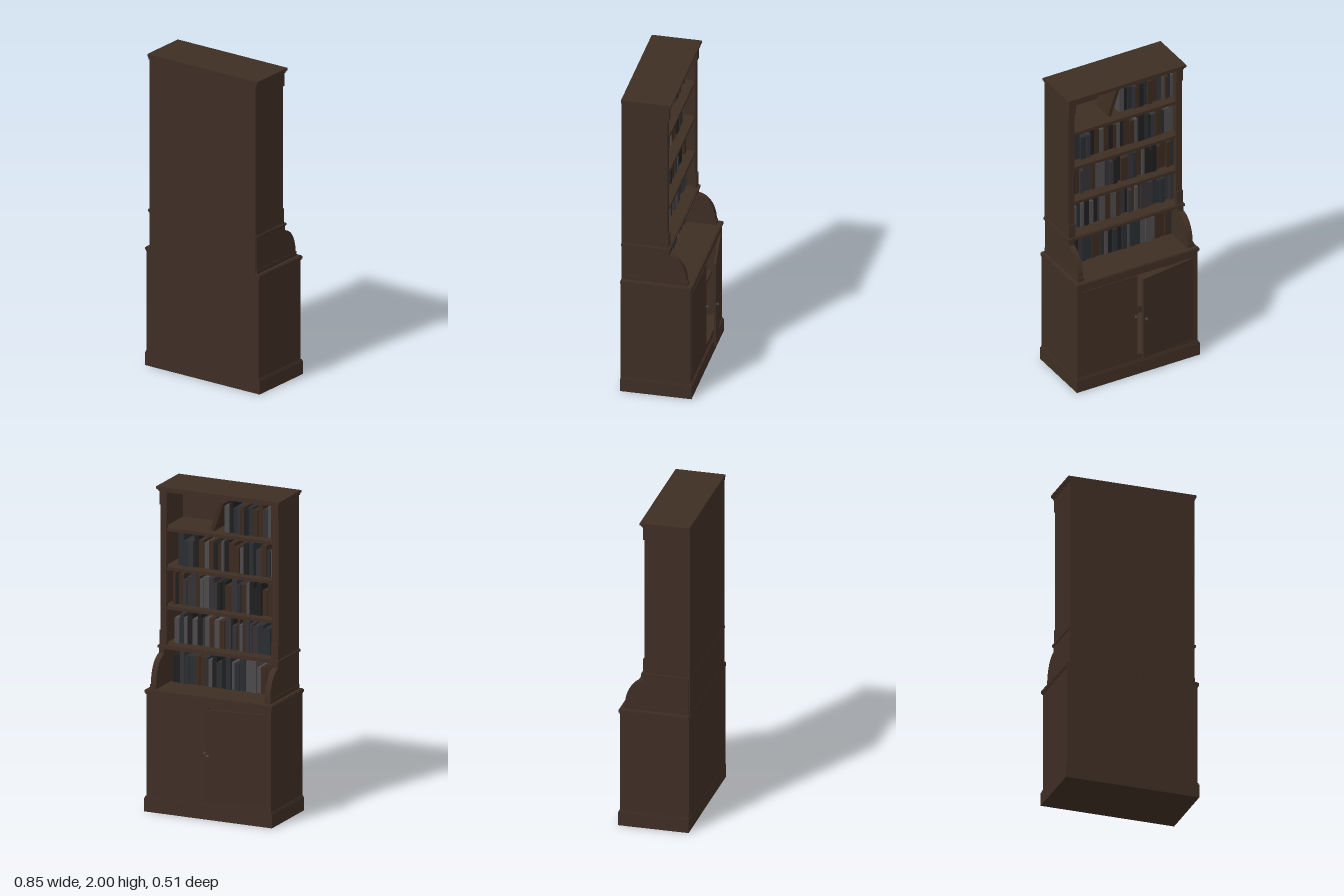
import * as THREE from 'three';

const mat = (name, color) => {
  const m = new THREE.MeshStandardMaterial({ color });
  m.name = name;
  return m;
};

export function createModel() {
  const model = new THREE.Group();
  model.name = 'bookcase';
  const wood = mat('dark wood', 0x3e2e24);
  const metal = mat('knob metal', 0x4c4a48);
  const bookMats = [
    mat('black cloth', 0x1f1f20), mat('slate cloth', 0x2a2e32), mat('grey cloth', 0x4d494b),
    mat('brown leather', 0x3b2a1f), mat('charcoal cloth', 0x343234),
  ];

  // Box given by its limits on each axis
  const box = (name, x0, x1, y0, y1, z0, z1, parent = model, m = wood) => {
    const mesh = new THREE.Mesh(new THREE.BoxGeometry(x1 - x0, y1 - y0, z1 - z0), m);
    mesh.position.set((x0 + x1) / 2, (y0 + y1) / 2, (z0 + z1) / 2);
    mesh.name = name;
    parent.add(mesh);
    return mesh;
  };
  // The same box on both sides of the case
  const pair = (name, x0, x1, ...rest) => {
    box(name + 'Left', x0, x1, ...rest);
    box(name + 'Right', -x1, -x0, ...rest);
  };

  // Lower cabinet: plinth, hollow carcass and face frame
  box('plinth', -0.427, 0.427, 0, 0.085, -0.185, 0.255);
  box('plinthLip', -0.422, 0.422, 0.085, 0.095, -0.18, 0.254);
  pair('cabinetSide', 0.395, 0.417, 0.09, 0.74, -0.175, 0.254);
  box('cabinetBack', -0.4, 0.4, 0.09, 0.74, 0.238, 0.254);
  box('cabinetFloor', -0.4, 0.4, 0.09, 0.12, -0.16, 0.24);
  box('cabinetShelf', -0.4, 0.4, 0.41, 0.43, -0.12, 0.24);
  pair('frameStile', 0.383, 0.396, 0.09, 0.74, -0.175, -0.15);
  box('frameBottomRail', -0.385, 0.385, 0.09, 0.132, -0.175, -0.15);
  box('frameTopRail', -0.385, 0.385, 0.7, 0.74, -0.175, -0.15);

  // Counter with a stepped moulding
  box('counterMoulding', -0.422, 0.422, 0.733, 0.742, -0.178, 0.2545);
  box('counterEdge', -0.426, 0.426, 0.742, 0.757, -0.183, 0.255);
  box('counterTop', -0.42, 0.42, 0.757, 0.762, -0.178, 0.254);

  // Two doors, one standing ajar, each hung at its outer edge
  const knobProfile = [[0, 0], [0.004, 0], [0.004, 0.008], [0.01, 0.011], [0.009, 0.015], [0, 0.018]]
    .map(([r, y]) => new THREE.Vector2(r, y));
  const knobGeometry = new THREE.LatheGeometry(knobProfile, 16).rotateX(-Math.PI / 2);
  for (const [side, angle] of [[-1, 0.15], [1, 0]]) {
    const door = new THREE.Group();
    door.name = side < 0 ? 'openDoor' : 'closedDoor';
    const [a, b] = side < 0 ? [0, 0.382] : [-0.382, 0];
    box('doorPanel', a, b, 0.133, 0.699, -0.006, 0.007, door);
    const knob = new THREE.Mesh(knobGeometry, metal);
    knob.name = 'doorKnob';
    knob.position.set(-side * 0.365, 0.415, -0.006);
    door.add(knob);
    door.position.set(side * 0.383, 0, -0.172);
    door.rotation.y = angle;
    model.add(door);
  }

  // Curved side brackets between counter and upper case
  const profile = new THREE.Shape();
  profile.moveTo(-0.245, 0.76);
  profile.lineTo(0.153, 0.76);
  profile.lineTo(0.153, 0.79);
  profile.lineTo(0.149, 0.79);
  profile.bezierCurveTo(0.147, 0.875, 0.107, 0.945, 0.04, 0.958);
  profile.lineTo(0.04, 1);
  profile.lineTo(-0.245, 1);
  const bracketGeometry = new THREE.ExtrudeGeometry(profile, { depth: 0.036, bevelEnabled: false, curveSegments: 16 });
  bracketGeometry.rotateY(Math.PI / 2);
  for (const [name, x] of [['bracketLeft', 0.363], ['bracketRight', -0.399]]) {
    const bracket = new THREE.Mesh(bracketGeometry, wood);
    bracket.name = name;
    bracket.position.x = x;
    model.add(bracket);
  }
  pair('bracketFoot', 0.362, 0.402, 0.76, 0.79, -0.156, 0.246);

  // Upper case
  box('backPanel', -0.395, 0.395, 0.76, 1.98, 0.24, 0.254);
  pair('upperSide', 0.375, 0.396, 1, 1.98, -0.022, 0.254);
  pair('pilaster', 0.352, 0.394, 1, 1.98, -0.029, -0.01);
  pair('pilasterBase', 0.35, 0.396, 1, 1.1, -0.036, -0.01);
  pair('pilasterCapital', 0.35, 0.396, 1.885, 1.98, -0.038, -0.01);
  box('waistMoulding', -0.405, 0.405, 0.992, 1.006, -0.047, 0.255);
  box('waistBoard', -0.397, 0.397, 0.985, 1.01, -0.04, 0.254);
  box('corniceLower', -0.4, 0.4, 1.968, 1.978, -0.043, 0.2545);
  box('corniceMiddle', -0.405, 0.405, 1.978, 1.985, -0.048, 0.2545);
  box('corniceTop', -0.41, 0.41, 1.985, 2, -0.054, 0.255);
  for (const y of [1.25, 1.495, 1.74]) box('shelf', -0.376, 0.376, y - 0.02, y, -0.022, 0.24);

  // Rows of books from a small seeded generator
  let seed = 7;
  const rand = () => (seed = (seed * 16807) % 2147483647) / 2147483647;
  const rows = [[0.762, 0.355, 0.36], [1.01, 0.345, 0.372], [1.25, 0.345, 0.372], [1.495, 0.325, 0.372], [1.74, 0.0, 0.372]];
  for (const [y, end, start] of rows) {
    const row = new THREE.Group();
    row.name = 'bookRow';
    let x = -start;
    while (x < end - 0.015) {
      const w = Math.min(0.016 + rand() * 0.022, end - x);
      const h = 0.155 + rand() * 0.05;
      const front = 0.03 + rand() * 0.02;
      const cover = bookMats[Math.floor(rand() * bookMats.length)];
      box('book', x, x + w - 0.001, y, y + h, front, front + 0.14, row, cover);
      x += w;
    }
    model.add(row);
  }

  // One book leaning against the top row
  const leaning = box('leaningBook', -0.012, 0.012, 0, 0.19, 0.03, 0.18, model, bookMats[3]);
  leaning.geometry.translate(0, 0.095, 0);
  leaning.position.set(0.076, 1.744, 0.105);
  leaning.rotation.z = 0.33;

  return model;
}
